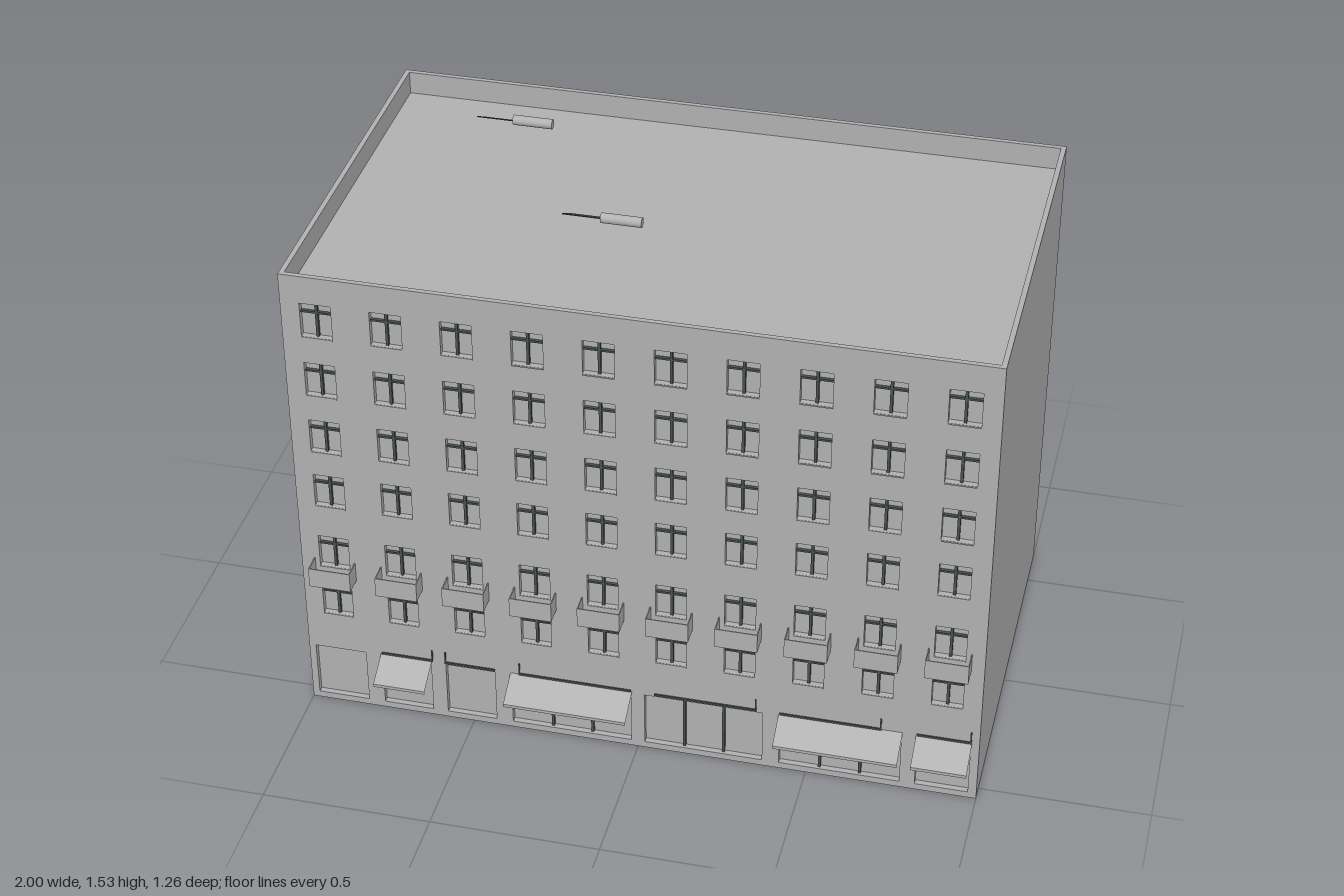
import * as THREE from 'three';

const FRONT = 0.545, BACK = -0.63, TOP = 1.495, ROOF = 1.425;

export function createModel() {
  const grey = new THREE.MeshStandardMaterial({ color: 0xb2b2b2, side: THREE.DoubleSide });
  grey.name = 'plaster grey';
  const dark = new THREE.MeshStandardMaterial({ color: 0x4a5254, side: THREE.DoubleSide });
  dark.name = 'dark slate';
  const model = new THREE.Group();
  model.name = 'apartmentBuilding';

  const add = (parent, name, geo, mat, x = 0, y = 0, z = 0) => {
    const m = new THREE.Mesh(geo, mat);
    m.name = name;
    m.position.set(x, y, z);
    parent.add(m);
    return m;
  };
  // Box given by its minimum and maximum corners
  const box = (parent, name, mat, x0, x1, y0, y1, z0, z1) =>
    add(parent, name, new THREE.BoxGeometry(x1 - x0, y1 - y0, z1 - z0), mat,
      (x0 + x1) / 2, (y0 + y1) / 2, (z0 + z1) / 2);
  const trace = (path, x0, x1, y0, y1) =>
    path.moveTo(x0, y0).lineTo(x1, y0).lineTo(x1, y1).lineTo(x0, y1).closePath();
  const rect = (x0, x1, y0, y1) => { const s = new THREE.Shape(); trace(s, x0, x1, y0, y1); return s; };
  const hole = (x0, x1, y0, y1) => { const p = new THREE.Path(); trace(p, x0, x1, y0, y1); return p; };

  // Openings: [x0, x1, y0, y1]
  const windows = [];
  for (const y of [0.328, 0.502, 0.72, 0.91, 1.104, 1.3]) {
    for (let i = 0; i < 10; i++) {
      const x = -0.9 + 0.2 * i;
      windows.push([x - 0.045, x + 0.045, y, y + 0.108]);
    }
  }
  const shops = [[-0.98, -0.825], [-0.775, -0.625], [-0.58, -0.43], [-0.38, -0.02],
    [0.02, 0.37], [0.42, 0.775], [0.82, 0.975]].map(([a, b]) => [a, b, 0.02, 0.198]);

  // Facade pierced by all openings
  const facade = rect(-1, 1, 0, TOP);
  for (const o of [...windows, ...shops]) facade.holes.push(hole(...o));
  add(model, 'facade', new THREE.ShapeGeometry(facade), grey, 0, 0, FRONT);

  // Plain outer walls, open underneath
  box(model, 'backWall', grey, -1, 1, 0, TOP, BACK, BACK + 0.002);
  for (const s of [-1, 1]) {
    box(model, 'sideWall', grey, s * 0.999 - 0.001, s * 0.999 + 0.001, 0, TOP, BACK, FRONT);
  }

  // Sunken roof with a parapet
  const ring = rect(-1, 1, -FRONT, -BACK);
  ring.holes.push(hole(-0.985, 0.985, -FRONT + 0.015, -BACK - 0.015));
  const parapet = new THREE.ExtrudeGeometry(ring, { depth: TOP - ROOF, bevelEnabled: false });
  parapet.rotateX(-Math.PI / 2);
  add(model, 'parapet', parapet, grey, 0, ROOF, 0);
  box(model, 'roof', grey, -0.99, 0.99, ROOF - 0.004, ROOF, BACK + 0.01, FRONT - 0.01);

  // Reveals and pane behind an opening
  const recess = (parent, [x0, x1, y0, y1], depth) => {
    const r = rect(x0 - 0.001, x1 + 0.001, y0 - 0.001, y1 + 0.001);
    r.holes.push(hole(x0, x1, y0, y1));
    add(parent, 'reveal', new THREE.ExtrudeGeometry(r, { depth, bevelEnabled: false }), grey,
      0, 0, FRONT - depth - 0.0005);
    box(parent, 'pane', grey, x0, x1, y0, y1, FRONT - depth - 0.001, FRONT - depth);
  };

  for (const o of windows) {
    const [x0, x1, y0, y1] = o, x = (x0 + x1) / 2;
    const g = new THREE.Group();
    g.name = 'window';
    model.add(g);
    recess(g, o, 0.018);
    box(g, 'mullion', dark, x - 0.004, x + 0.004, y0, y1, FRONT - 0.018, FRONT - 0.009);
    box(g, 'transom', dark, x0, x1, y1 - 0.034, y1 - 0.028, FRONT - 0.018, FRONT - 0.009);
    box(g, 'sill', grey, x0, x1, y0 - 0.004, y0, FRONT, FRONT + 0.003);
  }

  for (const o of shops) {
    const g = new THREE.Group();
    g.name = 'shopFront';
    model.add(g);
    recess(g, o, 0.018);
    const w = o[1] - o[0];
    if (w > 0.3) {
      for (const f of [1 / 3, 2 / 3]) {
        const x = o[0] + w * f;
        box(g, 'divider', dark, x - 0.004, x + 0.004, o[2], o[3], FRONT - 0.018, FRONT - 0.009);
      }
    }
  }

  // Open-topped balconies
  for (let i = 0; i < 10; i++) {
    const x = -0.9 + 0.2 * i, g = new THREE.Group();
    g.name = 'balcony';
    model.add(g);
    box(g, 'balconyFront', grey, x - 0.062, x + 0.062, 0.465, 0.528, 0.598, 0.601);
    box(g, 'balconyFloor', grey, x - 0.062, x + 0.062, 0.465, 0.468, FRONT, 0.598);
    for (const s of [-1, 1]) {
      const c = x + s * 0.0605;
      box(g, 'balconySide', grey, c - 0.0015, c + 0.0015, 0.468, 0.528, FRONT, 0.598);
    }
  }

  // Sloping awnings with a narrow valance
  for (const i of [1, 3, 5, 6]) {
    const [x0, x1] = shops[i], w = x1 - x0 + 0.006, x = (x0 + x1) / 2;
    const rise = 0.05, run = 0.63 - FRONT;
    const slope = add(model, 'awning', new THREE.PlaneGeometry(w, Math.hypot(rise, run)), grey,
      x, 0.18, FRONT + run / 2);
    slope.rotation.x = -Math.atan2(run, rise);
    add(model, 'valance', new THREE.PlaneGeometry(w, 0.01), grey, x, 0.15, 0.63);
  }

  // Thin dark rails over the shops, each with one upright
  for (const [x0, x1, t] of [[-0.775, -0.62, -0.62], [-0.58, -0.43, -0.58], [-0.355, -0.02, -0.355],
    [0.05, 0.35, 0.35], [0.42, 0.715, 0.715], [0.82, 0.975, 0.975]]) {
    box(model, 'signRail', dark, x0, x1, 0.204, 0.21, FRONT, FRONT + 0.004);
    box(model, 'signUpright', dark, t - 0.002, t + 0.002, 0.204, 0.245, FRONT, FRONT + 0.004);
  }

  // Rooftop water heaters: tilted collector and tank
  for (const [x, z] of [[-0.65, -0.43], [-0.265, 0.04]]) {
    const g = new THREE.Group();
    g.name = 'waterHeater';
    model.add(g);
    const panel = add(g, 'collector', new THREE.BoxGeometry(0.118, 0.003, 0.083), dark, x, 1.481, z);
    panel.rotation.x = -Math.PI / 6;
    const tank = add(g, 'tank', new THREE.CylinderGeometry(0.015, 0.015, 0.118, 16), grey,
      x + 0.118, 1.516, z + 0.053);
    tank.rotation.z = Math.PI / 2;
  }
  return model;
}
